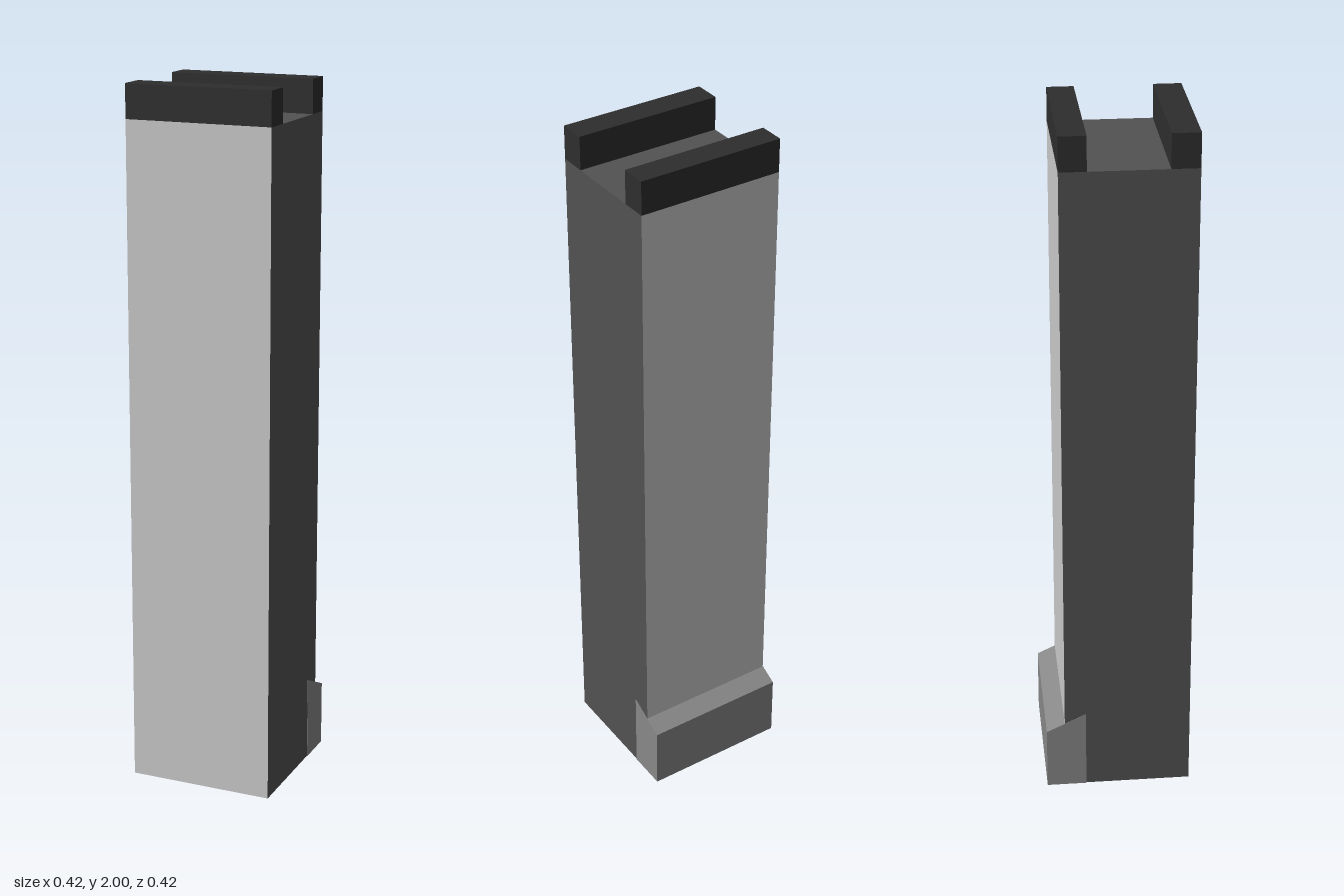
import * as THREE from 'three';

const paint = (color) => new THREE.MeshStandardMaterial({ color, flatShading: true });

export function createModel() {
  const model = new THREE.Group();
  const panel = paint(0xcccccc), dark = paint(0x525252), black = paint(0x2e2e2e), footGrey = paint(0x888888);

  const width = 0.42, front = 0.21, back = -0.157, bodyTop = 1.905;

  function addBox(name, z0, z1, y0, y1, material) {
    const mesh = new THREE.Mesh(new THREE.BoxGeometry(width, y1 - y0, z1 - z0), material);
    mesh.position.set(0, (y0 + y1) / 2, (z0 + z1) / 2);
    mesh.name = name;
    model.add(mesh);
  }

  // Tall body: dark sides, top and base, with pale front and back faces
  addBox('body', back, front, 0.001, bodyTop, [dark, dark, dark, dark, panel, panel]);

  // Two rails leaving a channel across the top
  addBox('frontRail', 0.133, front, bodyTop, 2, black);
  addBox('backRail', back, -0.083, bodyTop, 2, black);

  // Foot with a sloping top, wrapped around the lower back of the body
  const profile = new THREE.Shape([
    new THREE.Vector2(0.095, 0),
    new THREE.Vector2(0.21, 0),
    new THREE.Vector2(0.21, 0.19),
    new THREE.Vector2(0.095, 0.245),
  ]);
  const footWidth = width + 0.002;
  const footGeometry = new THREE.ExtrudeGeometry(profile, { depth: footWidth, bevelEnabled: false });
  footGeometry.translate(0, 0, -footWidth / 2);
  footGeometry.rotateY(Math.PI / 2); // profile x runs towards the back
  const foot = new THREE.Mesh(footGeometry, footGrey);
  foot.name = 'foot';
  model.add(foot);

  return model;
}
